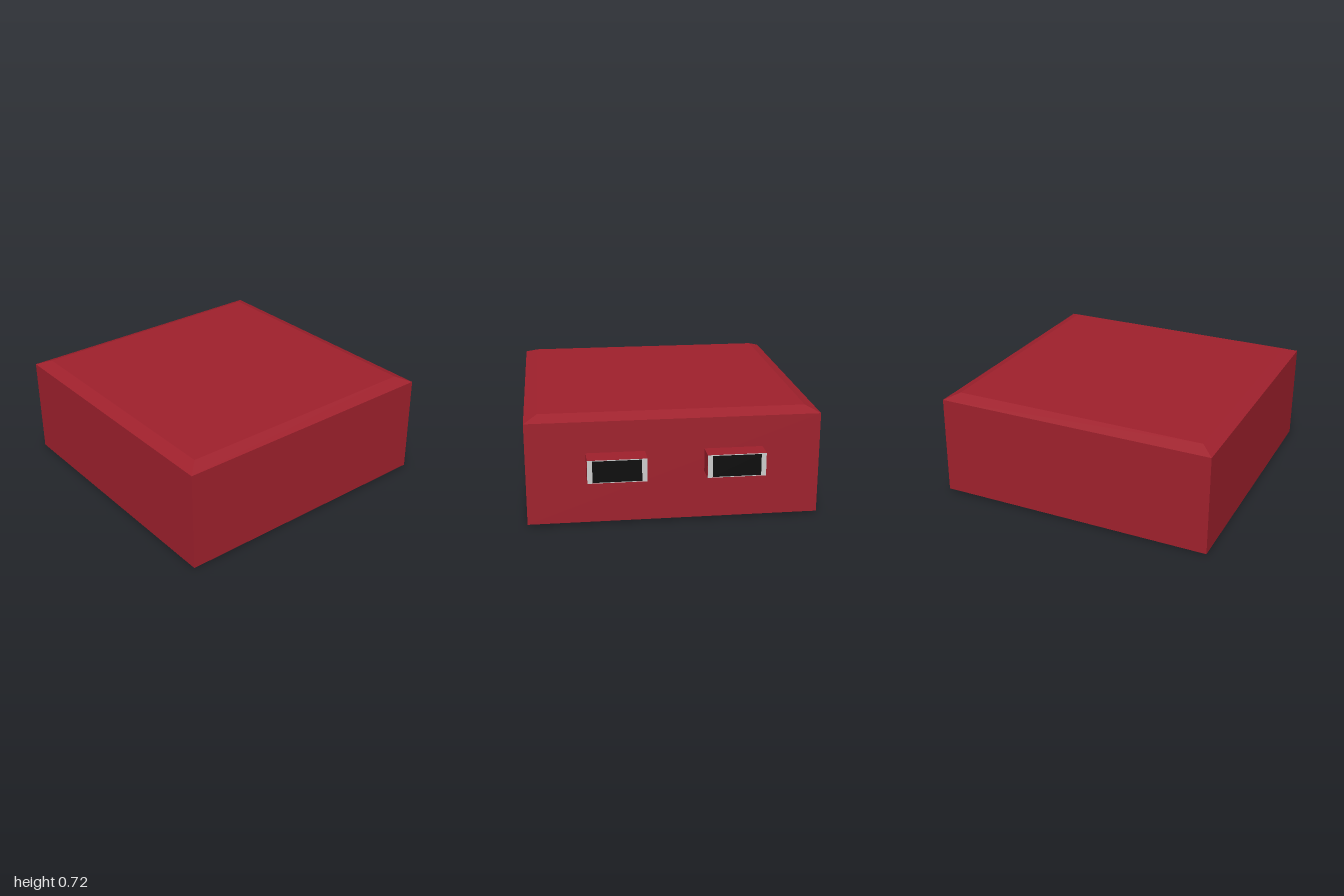
import * as THREE from 'three';

const mat = (color) => new THREE.MeshStandardMaterial({ color, flatShading: true });

export function createModel() {
  const model = new THREE.Group();
  model.name = 'plugBox';
  const red = mat(0x9e202c), grey = mat(0xcccccc), black = mat(0x0a0a0a);

  // Everything leans slightly, pivoting on the lower front edge
  const tilted = new THREE.Group();
  tilted.name = 'tiltedBody';
  tilted.position.z = 0.994;
  tilted.rotation.x = 0.009;
  model.add(tilted);

  const addBox = (parent, name, material, size, pos) => {
    const mesh = new THREE.Mesh(new THREE.BoxGeometry(...size), material);
    mesh.name = name;
    mesh.position.set(...pos);
    parent.add(mesh);
    return mesh;
  };

  // Casing: straight walls with the top edge chamfered inwards
  const W = 1.86, L = 1.86, wallH = 0.665, topH = 0.7, inset = 0.085;
  const geo = new THREE.BoxGeometry(W, 2, L, 1, 2, 1);
  const p = geo.attributes.position;
  for (let i = 0; i < p.count; i++) {
    const level = Math.round(p.getY(i)) + 1;
    p.setY(i, [0, wallH, topH][level]);
    if (level === 2) {
      p.setX(i, p.getX(i) - Math.sign(p.getX(i)) * inset);
      p.setZ(i, p.getZ(i) - Math.sign(p.getZ(i)) * inset);
    }
  }
  geo.computeVertexNormals();
  const casing = new THREE.Mesh(geo, red);
  casing.name = 'casing';
  casing.position.z = -L / 2;
  tilted.add(casing);

  // Two plugs on the back, each with a grey end plate and a dark opening
  for (const [side, x, depth] of [['left', 0.37, 0.136], ['right', -0.375, 0.126]]) {
    const plug = new THREE.Group();
    plug.name = side + 'Plug';
    plug.position.set(x, 0.387, -L);
    tilted.add(plug);
    addBox(plug, 'plugShell', red, [0.37, 0.15, depth], [0, 0, -depth / 2]);
    addBox(plug, 'endPlate', grey, [0.368, 0.148, 0.002], [0, 0, -depth - 0.0005]);
    addBox(plug, 'opening', black, [0.305, 0.138, 0.002], [0, 0, -depth - 0.002]);
  }
  return model;
}
